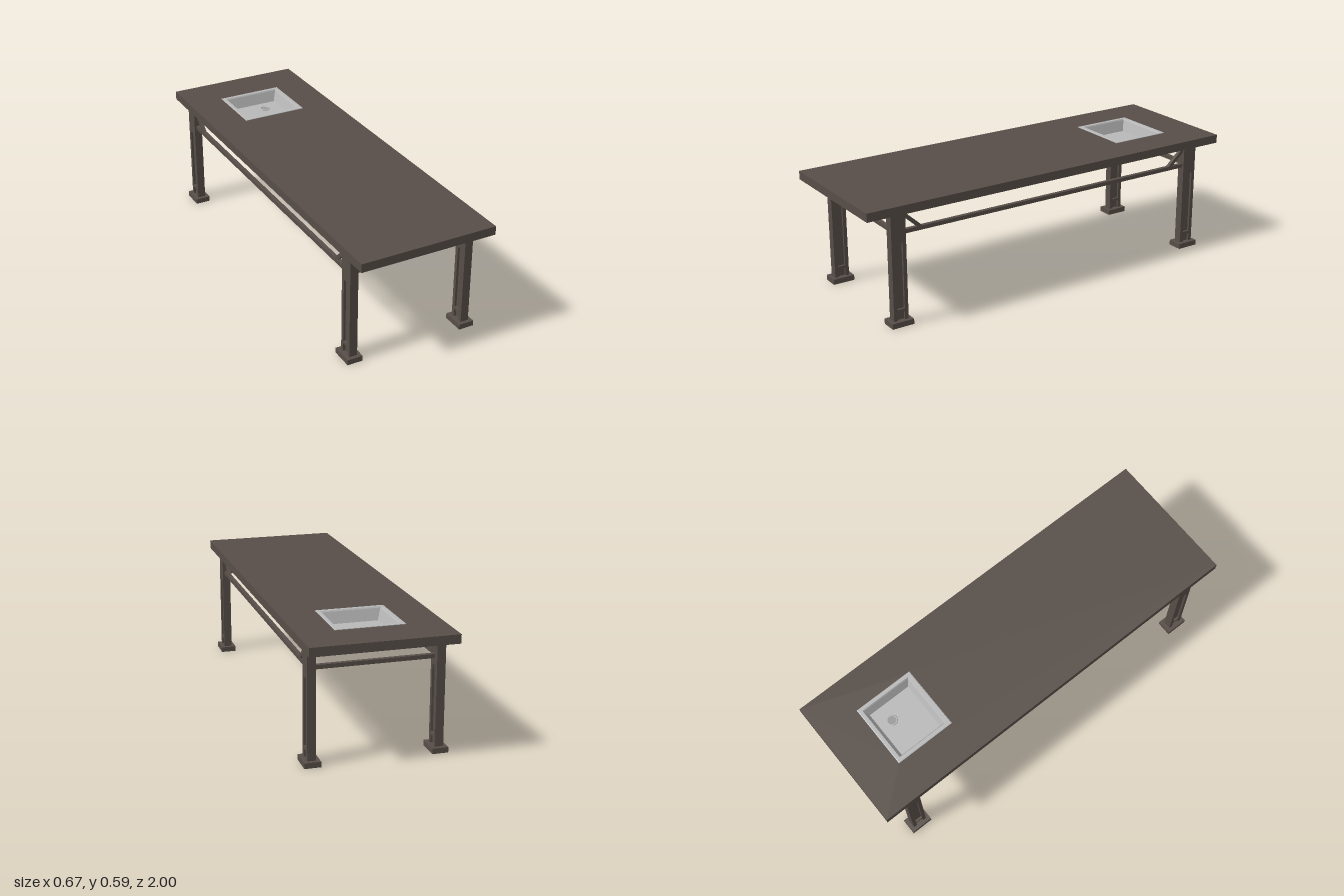
import * as THREE from 'three';

export function createModel() {
  const model = new THREE.Group();
  const wood = new THREE.MeshStandardMaterial({ color: 0x574e48 });
  wood.name = 'dark brown';
  const steel = new THREE.MeshStandardMaterial({ color: 0xb8b8b8 });
  steel.name = 'sink grey';
  const drainGrey = new THREE.MeshStandardMaterial({ color: 0x9a9a9a });
  drainGrey.name = 'drain grey';

  function add(parent, name, geometry, material, x = 0, y = 0, z = 0) {
    const mesh = new THREE.Mesh(geometry, material);
    mesh.name = name;
    mesh.position.set(x, y, z);
    parent.add(mesh);
    return mesh;
  }
  // Box given by its minimum and maximum along each axis
  function block(parent, name, x0, x1, y0, y1, z0, z1) {
    return add(parent, name, new THREE.BoxGeometry(x1 - x0, y1 - y0, z1 - z0), wood,
      (x0 + x1) / 2, (y0 + y1) / 2, (z0 + z1) / 2);
  }
  // Corners of a rectangle on the floor plane, counter-clockwise from above
  const corners = ([x0, x1, z0, z1]) => [[x0, z1], [x1, z1], [x1, z0], [x0, z0]];
  // Horizontal slab with a rectangular hole
  function slab(parent, name, outer, hole, y0, y1) {
    const points = (r) => corners(r).map(([x, z]) => new THREE.Vector2(x, -z));
    const shape = new THREE.Shape(points(outer));
    shape.holes.push(new THREE.Path(points(hole).reverse()));
    const geometry = new THREE.ExtrudeGeometry(shape, { depth: y1 - y0, bevelEnabled: false });
    geometry.rotateX(-Math.PI / 2);
    return add(parent, name, geometry, wood, 0, y0, 0);
  }

  // Tabletop and the thinner panel below it, cut out for the sink
  const cutout = [-0.15, 0.154, -0.785, -0.502];
  slab(model, 'tabletop', [-0.337, 0.337, -1, 1], cutout, 0.54, 0.582);
  slab(model, 'underPanel', [-0.273, 0.272, -0.935, 0.937], cutout, 0.518, 0.54);
  block(model, 'sinkCover', -0.16, 0.16, 0.518, 0.521, -0.79, -0.5);

  // Sink: rectangular rings from the rim's outer edge down to the floor
  const rings = [
    [[-0.161, 0.164, -0.797, -0.49], 0.58],
    [[-0.161, 0.164, -0.797, -0.49], 0.584],
    [[-0.157, 0.16, -0.793, -0.494], 0.586],
    [[-0.142, 0.146, -0.777, -0.512], 0.586],
    [[-0.138, 0.142, -0.773, -0.516], 0.58],
    [[-0.122, 0.126, -0.757, -0.532], 0.526],
  ].map(([r, y]) => corners(r).map(([x, z]) => [x, y, z]));
  const positions = [];
  const quad = (a, b, c, d) => positions.push(...a, ...b, ...c, ...a, ...c, ...d);
  for (let k = 0; k < rings.length - 1; k++) {
    for (let i = 0; i < 4; i++) {
      const j = (i + 1) % 4;
      quad(rings[k][i], rings[k][j], rings[k + 1][j], rings[k + 1][i]);
    }
  }
  quad(...rings[rings.length - 1]);
  const basin = new THREE.BufferGeometry();
  basin.setAttribute('position', new THREE.Float32BufferAttribute(positions, 3));
  basin.computeVertexNormals();
  const sink = new THREE.Group();
  sink.name = 'sink';
  model.add(sink);
  add(sink, 'basin', basin, steel);

  // Drain ring with a lower centre
  const ring = new THREE.TorusGeometry(0.023, 0.004, 8, 24);
  ring.rotateX(Math.PI / 2);
  add(sink, 'drainRing', ring, steel, 0.04, 0.527, -0.69);
  add(sink, 'drainCentre', new THREE.CylinderGeometry(0.021, 0.021, 0.003, 24), drainGrey,
    0.04, 0.527, -0.69);

  // Legs: two flanges joined by a recessed web, on a hollow foot
  const legX = [-0.297, 0.292];
  const legZ = [-0.844, 0.836];
  for (const x of legX) {
    for (const z of legZ) {
      const leg = new THREE.Group();
      leg.name = 'leg';
      leg.position.set(x, 0, z);
      model.add(leg);
      for (const s of [-1, 1]) {
        block(leg, 'legFlange', -0.02, 0.02, 0.025, 0.54, s * 0.028 - 0.009, s * 0.028 + 0.009);
      }
      block(leg, 'legWeb', -0.009, 0.009, 0.025, 0.4, -0.019, 0.019);
      block(leg, 'legHead', -0.02, 0.02, 0.4, 0.54, -0.019, 0.019);
      block(leg, 'legDivider', -0.02, 0.02, 0.065, 0.08, -0.019, 0.019);
      block(leg, 'footPlate', -0.038, 0.038, 0.018, 0.026, -0.055, 0.055);
      slab(leg, 'footRim', [-0.038, 0.038, -0.055, 0.055], [-0.023, 0.023, -0.04, 0.04], 0, 0.018);

      // Diagonal brace from the leg top down to the side rail
      const inward = -Math.sign(z);
      const brace = add(model, 'brace', new THREE.BoxGeometry(0.018, 0.018, 0.128), wood,
        x, 0.486, z + inward * 0.079);
      brace.rotation.x = inward * Math.PI * 0.235;
    }
  }

  // Rails along both sides and across both ends
  for (const x of legX) {
    block(model, 'sideRail', x - 0.01, x + 0.01, 0.434, 0.453, legZ[0] + 0.037, legZ[1] - 0.037);
  }
  for (const z of legZ) {
    block(model, 'endRail', legX[0] + 0.02, legX[1] - 0.02, 0.434, 0.453, z - 0.01, z + 0.01);
  }

  return model;
}
